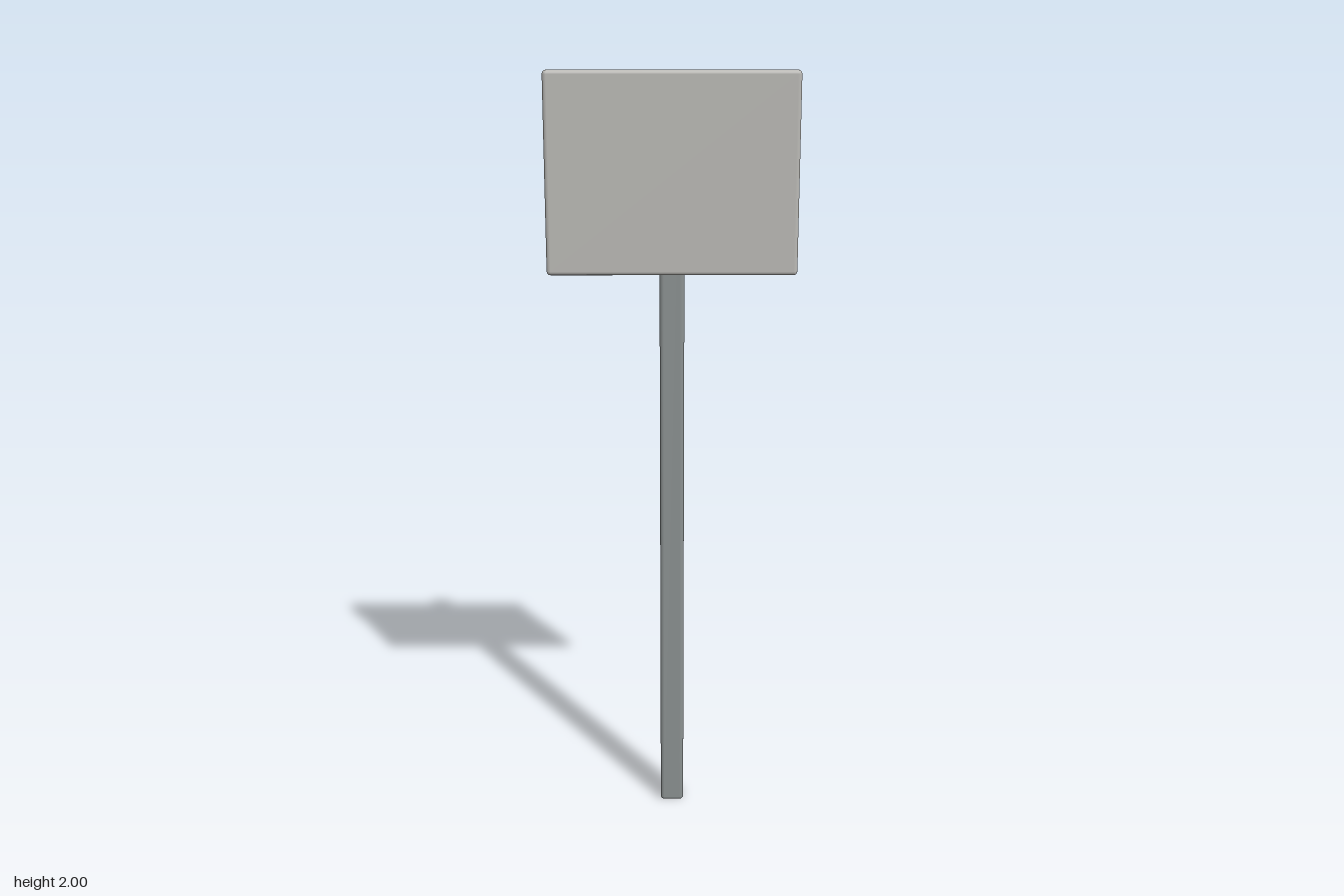
import * as THREE from 'three';
import { RoundedBoxGeometry } from 'three/addons/geometries/RoundedBoxGeometry.js';

// Box with small softened edges, placed by its centre height and depth
function softBox(name, [w, h, d], y, z, material) {
  const mesh = new THREE.Mesh(new RoundedBoxGeometry(w, h, d, 2, 0.01), material);
  mesh.name = name;
  mesh.position.set(0, y, z);
  return mesh;
}

export function createModel() {
  const postGrey = new THREE.MeshStandardMaterial({ color: 0x8b9191 });
  postGrey.name = 'post grey';
  const boardGrey = new THREE.MeshStandardMaterial({ color: 0xbab9b5 });
  boardGrey.name = 'board light grey';

  const group = new THREE.Group();
  group.name = 'signPost';
  group.add(
    // Square post standing on the ground
    softBox('post', [0.063, 1.968, 0.063], 0.984, -0.0155, postGrey),
    // Blank board fixed to the front of the post
    softBox('board', [0.63, 0.5, 0.031], 1.75, 0.0315, boardGrey),
  );
  return group;
}
